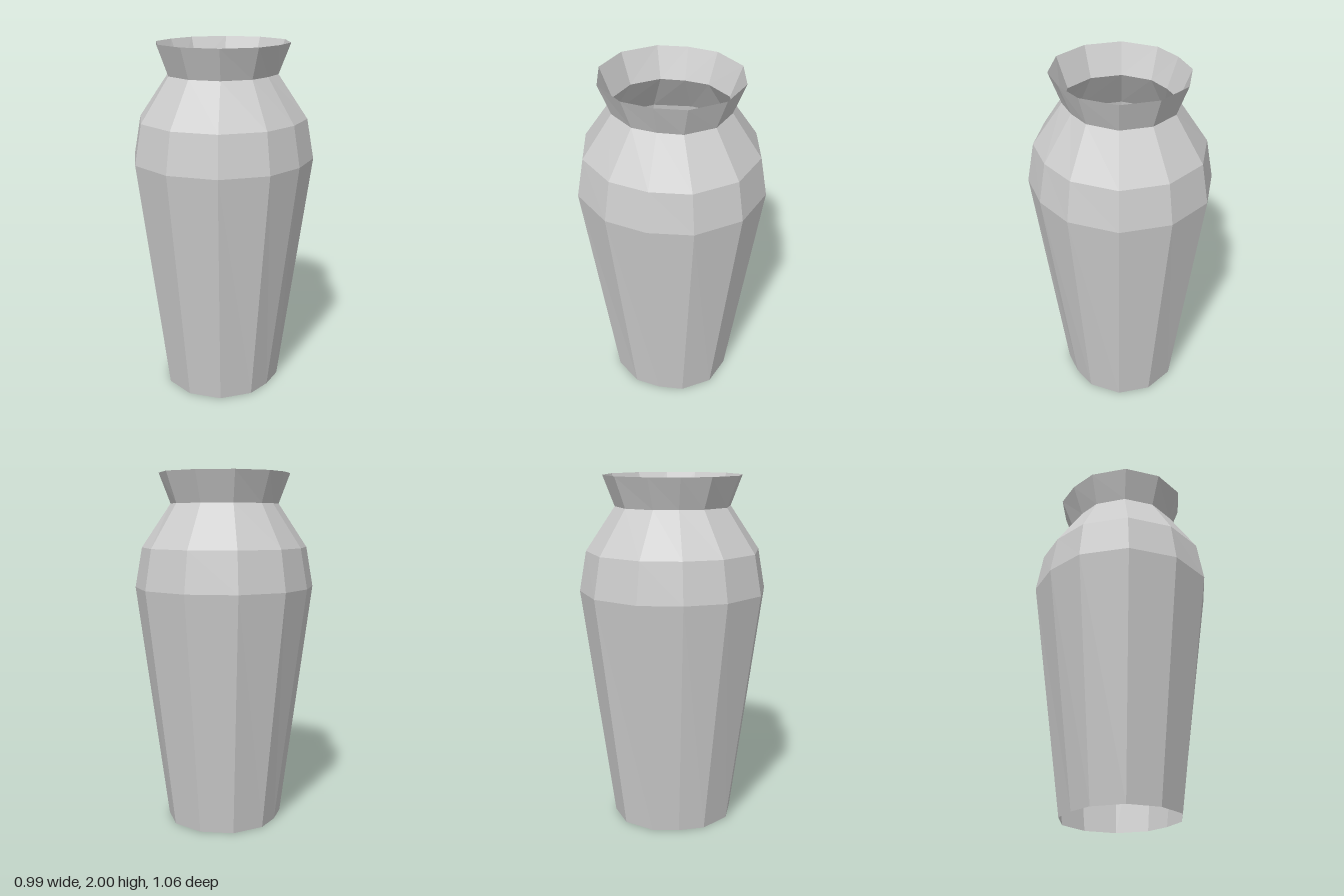
import * as THREE from 'three';

const SIDES = 12;

// Small inward shifts [x, z] that flatten the twelve-sided ring at its left and right,
// for corners at 0, 30, 60 and 90 degrees from the z axis
const SHIFT = [[0, 0], [0.006, -0.006], [-0.006, -0.027], [-0.035, 0]];

// Faceted band of wall through [radius, height] pairs, listed from the bottom up
function band(name, profile, material) {
  const points = profile.map(([r, y]) => new THREE.Vector2(r, y));
  const lathe = new THREE.LatheGeometry(points, SIDES);
  const pos = lathe.attributes.position;
  for (let i = 0; i < pos.count; i++) {
    const column = Math.floor(i / points.length) % SIDES;
    const half = column % 6;
    const [dx, dz] = SHIFT[half > 3 ? 6 - half : half];
    const x = pos.getX(i), z = pos.getZ(i);
    pos.setX(i, x + dx * (Math.abs(x) < 1e-6 ? 0 : Math.sign(x)));
    pos.setZ(i, z + dz * (Math.abs(z) < 1e-6 ? 0 : Math.sign(z)));
  }
  const geometry = lathe.toNonIndexed();
  geometry.computeVertexNormals();
  const mesh = new THREE.Mesh(geometry, material);
  mesh.name = name;
  return mesh;
}

export function createModel() {
  const clay = new THREE.MeshStandardMaterial({
    color: 0xcccccc, flatShading: true, side: THREE.DoubleSide,
  });
  clay.name = 'pale grey clay';

  const vase = new THREE.Group();
  vase.name = 'vase';
  vase.add(
    // Tapered body, open at the foot
    band('body', [[0.35, 0], [0.53, 1.36]], clay),
    // Two-step shoulder closing in to the neck
    band('shoulder', [[0.53, 1.36], [0.49, 1.585], [0.325, 1.83]], clay),
    // Flared open lip
    band('lip', [[0.325, 1.83], [0.39, 2]], clay),
  );
  return vase;
}
